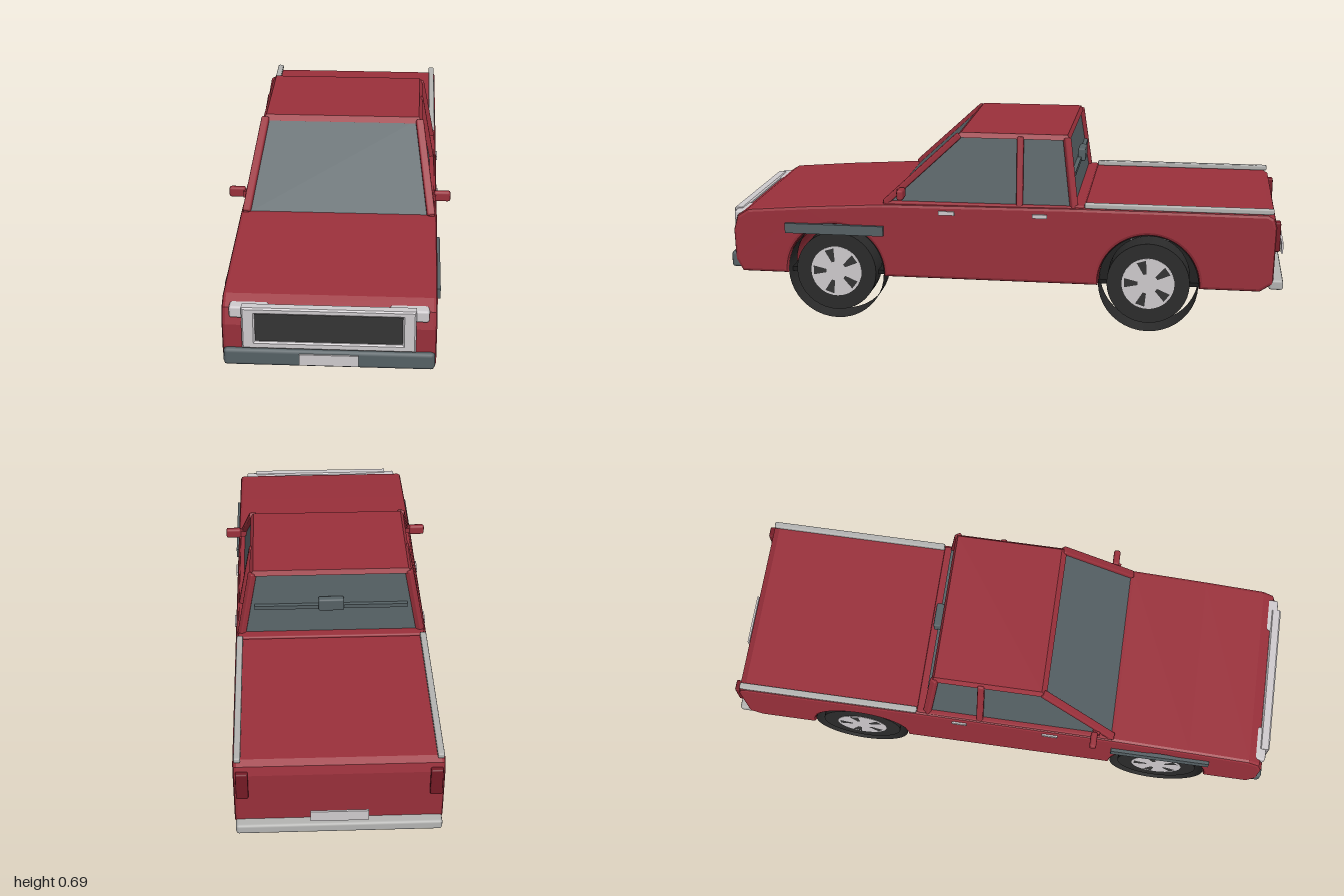
import * as THREE from 'three';
import { RoundedBoxGeometry } from 'three/addons/geometries/RoundedBoxGeometry.js';

const mat = (name, color, side = THREE.FrontSide) => {
  const m = new THREE.MeshStandardMaterial({ color, side });
  m.name = name;
  return m;
};

export function createModel() {
  const paint = mat('red paint', 0x9a303b);
  const glass = mat('grey glass', 0x566165);
  const light = mat('light trim', 0xcfcbce);
  const chrome = mat('chrome', 0xb4b4b2);
  const rubber = mat('rubber', 0x2b2b2b, THREE.DoubleSide);
  const black = mat('black underside', 0x1d1d1d);
  const dark = mat('dark grille', 0x343434);
  const tail = mat('tail light red', 0x741a25);

  const truck = new THREE.Group();
  truck.name = 'pickupTruck';
  const add = (name, geo, m, parent = truck) => {
    const mesh = new THREE.Mesh(geo, m);
    mesh.name = name;
    parent.add(mesh);
    return mesh;
  };
  // Box given by its limits on each axis, optionally with rounded edges
  const box = (name, m, [x0, x1], [y0, y1], [z0, z1], r = 0) => {
    const s = [x1 - x0, y1 - y0, z1 - z0];
    const mesh = add(name, r ? new RoundedBoxGeometry(...s, 1, r) : new THREE.BoxGeometry(...s), m);
    mesh.position.set((x0 + x1) / 2, (y0 + y1) / 2, (z0 + z1) / 2);
    return mesh;
  };
  const pair = (name, m, [x0, x1], y, z, r) => {
    box(name + 'Left', m, [x0, x1], y, z, r);
    box(name + 'Right', m, [-x1, -x0], y, z, r);
  };
  // Square beam between two points
  const beam = (name, m, a, b, w, d) => {
    const p = new THREE.Vector3(...a), q = new THREE.Vector3(...b);
    const mesh = add(name, new RoundedBoxGeometry(w, d, p.distanceTo(q), 1, 0.006), m);
    mesh.position.copy(p).add(q).multiplyScalar(0.5);
    mesh.lookAt(q);
  };
  // Box whose top and bottom rectangles differ: [y, halfWidth, backZ, frontZ]
  const frustum = (name, m, bottom, top) => {
    const g = new THREE.BoxGeometry(2, 2, 2);
    const p = g.attributes.position;
    for (let i = 0; i < p.count; i++) {
      const [y, w, z0, z1] = p.getY(i) > 0 ? top : bottom;
      p.setXYZ(i, p.getX(i) * w, y, p.getZ(i) > 0 ? z1 : z0);
    }
    g.computeVertexNormals();
    return add(name, g, m);
  };

  // Body: side profile with wheel arches, extruded across the width
  const axles = [0.603, -0.522], hubY = 0.176, archR = 0.178, baseY = 0.165;
  const s = new THREE.Shape();
  s.moveTo(-0.91, baseY);
  for (const z of [axles[1], axles[0]]) {
    s.lineTo(z - archR, baseY);
    s.lineTo(z - archR, hubY);
    s.absarc(z, hubY, archR, Math.PI, 0, true);
    s.lineTo(z + archR, baseY);
  }
  [[0.95, baseY], [0.975, 0.21], [0.978, 0.32], [0.962, 0.375], [0.92, 0.402], [0.7, 0.42],
    [0.425, 0.437], [-0.27, 0.445], [-0.93, 0.445], [-0.952, 0.432], [-0.96, 0.4],
    [-0.955, 0.195]].forEach(([z, y]) => s.lineTo(z, y));
  s.closePath();
  const bevel = 0.012, depth = 0.68 - 2 * bevel;
  const bodyGeo = new THREE.ExtrudeGeometry(s, {
    depth, curveSegments: 20, bevelEnabled: true, bevelSize: bevel,
    bevelThickness: bevel, bevelOffset: -bevel, bevelSegments: 2,
  });
  bodyGeo.translate(0, 0, -depth / 2).rotateY(-Math.PI / 2);
  add('body', bodyGeo, paint);
  box('underside', black, [-0.285, 0.285], [0.157, 0.172], [-0.9, 0.925]);

  // Cab: glass block, roof and pillars
  frustum('cabGlass', glass, [0.43, 0.318, -0.262, 0.422], [0.682, 0.268, -0.226, 0.152]);
  frustum('roof', paint, [0.674, 0.284, -0.237, 0.168], [0.691, 0.272, -0.228, 0.15]);
  for (const k of [1, -1]) {
    const side = k > 0 ? 'Left' : 'Right';
    beam('frontPillar' + side, paint, [k * 0.32, 0.437, 0.42], [k * 0.274, 0.682, 0.155], 0.028, 0.022);
    beam('middlePillar' + side, paint, [k * 0.32, 0.437, -0.065], [k * 0.274, 0.682, -0.062], 0.024, 0.024);
    beam('rearPillar' + side, paint, [k * 0.32, 0.437, -0.258], [k * 0.274, 0.682, -0.226], 0.026, 0.024);
    beam('windowSill' + side, paint, [k * 0.321, 0.44, -0.268], [k * 0.321, 0.437, 0.425], 0.022, 0.016);
  }
  box('rearSill', paint, [-0.33, 0.33], [0.435, 0.453], [-0.295, -0.255], 0.006);
  box('rearWindowBar', glass, [-0.27, 0.27], [0.545, 0.56], [-0.258, -0.242]);
  box('rearWindowLamp', glass, [-0.045, 0.045], [0.545, 0.592], [-0.273, -0.245], 0.006);

  // Mirrors, handles, side trim and bed rails
  pair('mirror', paint, [0.328, 0.386], [0.463, 0.5], [0.34, 0.364], 0.008);
  pair('mirrorArm', paint, [0.3, 0.335], [0.468, 0.49], [0.345, 0.372]);
  pair('frontDoorHandle', light, [0.335, 0.346], [0.405, 0.419], [0.165, 0.222]);
  pair('rearDoorHandle', light, [0.335, 0.346], [0.405, 0.419], [-0.165, -0.112]);
  pair('fenderTrim', glass, [0.335, 0.352], [0.32, 0.356], [0.422, 0.782]);
  pair('bedRail', chrome, [0.314, 0.336], [0.444, 0.463], [-0.948, -0.295], 0.005);

  // Front: grille, headlights, bumper and plate
  const rect = (P, x, y0, y1) => {
    const p = new P();
    p.moveTo(-x, y0).lineTo(x, y0).lineTo(x, y1).lineTo(-x, y1).closePath();
    return p;
  };
  const frame = rect(THREE.Shape, 0.27, 0.247, 0.384);
  frame.holes.push(rect(THREE.Path, 0.238, 0.262, 0.372));
  const frameGeo = new THREE.ExtrudeGeometry(frame, {
    depth: 0.025, bevelSize: 0.005, bevelThickness: 0.005, bevelSegments: 1,
  });
  add('grilleFrame', frameGeo, light).position.z = 0.962;
  box('grille', dark, [-0.24, 0.24], [0.26, 0.374], [0.965, 0.984]);
  pair('headlight', light, [0.19, 0.315], [0.345, 0.386], [0.93, 0.98], 0.008);
  box('frontBumper', glass, [-0.336, 0.336], [0.178, 0.237], [0.945, 0.992], 0.012);
  box('frontPlate', light, [-0.094, 0.094], [0.188, 0.227], [0.989, 0.997]);

  // Rear: bumper, plate and lamps
  box('rearBumper', chrome, [-0.336, 0.336], [0.174, 0.21], [-0.99, -0.94], 0.009);
  box('rearPlate', light, [-0.094, 0.094], [0.235, 0.275], [-1, -0.993]);
  pair('tailLight', tail, [0.292, 0.332], [0.312, 0.416], [-0.973, -0.945], 0.005);

  // Wheels: tread band, tyre ring, rim and five slots per side
  const slot = new THREE.Shape();
  slot.moveTo(-0.006, 0.036).lineTo(0.006, 0.036).lineTo(0.017, 0.084).lineTo(-0.017, 0.084).closePath();
  const slotGeo = new THREE.ShapeGeometry(slot);
  const cyl = (r, h, open) => new THREE.CylinderGeometry(r, r, h, 40, 1, open).rotateZ(Math.PI / 2);
  for (const z of axles) for (const k of [1, -1]) {
    const wheel = new THREE.Group();
    wheel.name = (z > 0 ? 'front' : 'rear') + 'Wheel' + (k > 0 ? 'Left' : 'Right');
    wheel.position.set(k * 0.276, hubY, z);
    add('tread', cyl(0.176, 0.108, true), rubber, wheel);
    add('tyre', cyl(0.146, 0.1), rubber, wheel);
    add('rim', cyl(0.093, 0.103), light, wheel);
    for (const f of [1, -1]) for (let i = 0; i < 5; i++) {
      const holder = new THREE.Group();
      holder.name = 'rimSlotHolder';
      holder.position.x = f * 0.0525;
      holder.rotation.y = f * Math.PI / 2;
      add('rimSlot', slotGeo, dark, holder).rotation.z = (i * 2 * Math.PI) / 5 + 0.3;
      wheel.add(holder);
    }
    truck.add(wheel);
  }
  return truck;
}
